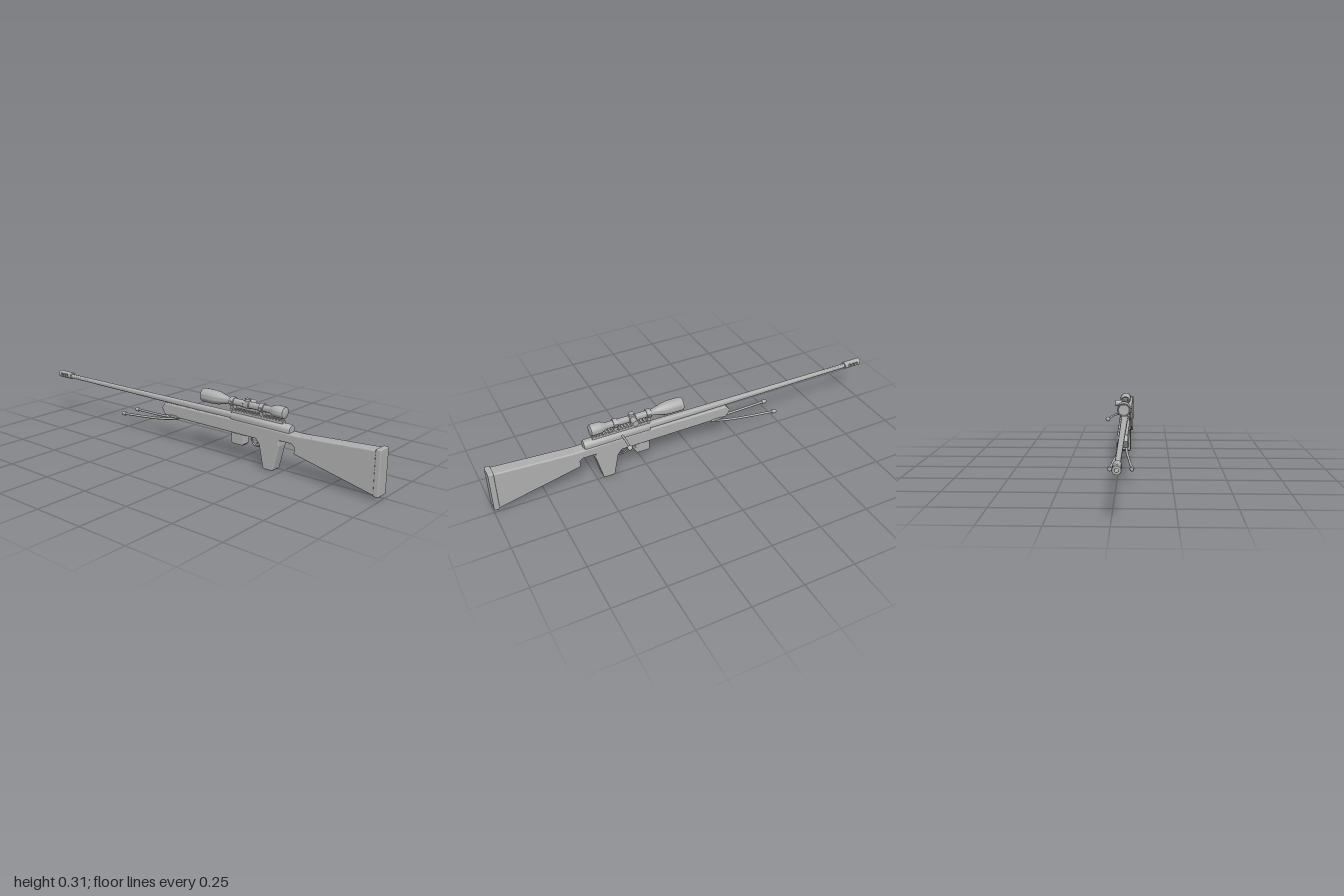
import * as THREE from 'three';
import { toCreasedNormals } from 'three/addons/utils/BufferGeometryUtils.js';
import { RoundedBoxGeometry } from 'three/addons/geometries/RoundedBoxGeometry.js';

const CX = -0.023; // centre plane of the rifle

export function createModel() {
  const model = new THREE.Group();
  const rifle = new THREE.Group();
  rifle.name = 'rifle';
  rifle.position.x = CX;
  model.add(rifle);
  const grey = new THREE.MeshStandardMaterial({ color: 0xb0b0b0 });
  grey.name = 'plain grey';
  grey.side = THREE.DoubleSide;

  const add = (name, geo, x = 0, y = 0, z = 0) => {
    const mesh = new THREE.Mesh(geo, grey);
    mesh.name = name;
    mesh.position.set(x, y, z);
    rifle.add(mesh);
    return mesh;
  };
  // Side profile of [z, y] points, extruded across x
  const slab = (pts, half, bevel) => {
    const shape = new THREE.Shape(pts.map(([z, y]) => new THREE.Vector2(z, y)));
    const geo = new THREE.ExtrudeGeometry(shape, {
      depth: 2 * (half - bevel), bevelEnabled: true, bevelThickness: bevel,
      bevelSize: bevel, bevelOffset: -bevel, bevelSegments: 3,
    });
    geo.translate(0, 0, -(half - bevel));
    return geo.rotateY(-Math.PI / 2);
  };
  // Turned part along z from [radius, z] points in rising z
  const turned = (pts, seg = 24) => toCreasedNormals(
    new THREE.LatheGeometry(pts.map(([r, z]) => new THREE.Vector2(r, z)), seg).rotateX(Math.PI / 2), 0.6);
  const box = (w, h, d, r = 0.003) => new RoundedBoxGeometry(w, h, d, 2, r);

  // Stock: butt, wrist, grip and fore-end, narrowing toward the front
  const stock = slab([
    [0.98, 0.22], [0.6, 0.196], [0.2, 0.2], [-0.19, 0.196], [-0.212, 0.17], [-0.19, 0.136],
    [0.37, 0.134], [0.39, 0.11], [0.412, 0.006], [0.422, 0], [0.463, 0], [0.47, 0.006],
    [0.5, 0.125], [0.5, 0.152], [0.565, 0.152], [0.578, 0.14], [0.578, 0.108], [0.98, 0.02],
  ], 0.03, 0.007);
  const p = stock.attributes.position;
  for (let i = 0; i < p.count; i++) p.setX(i, p.getX(i) * (0.88 + 0.15 * p.getZ(i)));
  stock.computeVertexNormals();
  add('stock', stock);
  add('buttPad', box(0.068, 0.207, 0.026, 0.005), 0, 0.1215, 0.987);

  // Receiver and barrel
  add('receiver', turned([[0, 0.22], [0.024, 0.22], [0.026, 0.224], [0.026, 0.54], [0.022, 0.549], [0, 0.552]]), 0, 0.205);
  add('barrel', turned([[0.0115, -0.92], [0.013, -0.5], [0.017, 0.1], [0.018, 0.23]]), 0, 0.209);

  // Muzzle brake: discs with open side ports between solid top and bottom
  const brake = new THREE.Group();
  brake.name = 'muzzleBrake';
  brake.position.set(0, 0.211, 0);
  rifle.add(brake);
  const brakePart = (name, geo) => {
    const mesh = new THREE.Mesh(geo, grey);
    mesh.name = name;
    brake.add(mesh);
  };
  [[-1, -0.982], [-0.968, -0.962], [-0.948, -0.942], [-0.928, -0.905]].forEach(([a, b]) =>
    brakePart('brakeRing', turned([[0.008, a], [0.017, a], [0.018, a + 0.002], [0.018, b - 0.002], [0.017, b], [0.008, b], [0.008, a]])));
  for (const start of [Math.PI * 0.16, Math.PI * 1.16]) {
    const arc = new THREE.Shape();
    arc.absarc(0, 0, 0.0178, start, start + Math.PI * 0.68, false);
    arc.absarc(0, 0, 0.008, start + Math.PI * 0.68, start, true);
    const geo = new THREE.ExtrudeGeometry(arc, { depth: 0.085, bevelEnabled: false, curveSegments: 12 });
    brakePart('brakeShell', geo.translate(0, 0, -0.995));
  }

  // Toothed sight rail
  add('sightRail', box(0.024, 0.014, 0.29, 0.002), 0, 0.232, 0.36);
  for (let i = 0; i < 18; i++)
    add('railTooth', new THREE.BoxGeometry(0.029, 0.008, 0.009), 0, 0.242, 0.224 + i * 0.016);

  // Telescopic sight
  const SY = 0.277;
  add('scopeBody', turned([
    [0, 0.052], [0.026, 0.05], [0.028, 0.045], [0.032, 0.045], [0.033, 0.05], [0.033, 0.115],
    [0.03, 0.14], [0.021, 0.175], [0.016, 0.195], [0.016, 0.43], [0.02, 0.442], [0.027, 0.458],
    [0.028, 0.47], [0.028, 0.505], [0.026, 0.51], [0.02, 0.513], [0, 0.516],
  ], 32), 0, SY);
  for (const z of [0.22, 0.388]) {
    add('scopeRing', turned([[0.014, -0.011], [0.021, -0.011], [0.022, -0.009], [0.022, 0.009], [0.021, 0.011], [0.014, 0.011]]), 0, SY, z);
    add('ringFoot', box(0.026, 0.026, 0.02, 0.002), 0, 0.252, z);
    for (const s of [-1, 1]) add('ringClamp', box(0.006, 0.01, 0.018, 0.002), s * 0.022, SY, z);
  }
  add('turretCollar', turned([[0.015, -0.018], [0.019, -0.014], [0.019, 0.014], [0.015, 0.018]]), 0, SY, 0.303);
  add('topTurret', new THREE.CylinderGeometry(0.013, 0.013, 0.026, 20), 0, 0.292, 0.303);
  add('sideTurret', new THREE.CylinderGeometry(0.015, 0.015, 0.036, 20).rotateZ(Math.PI / 2), 0.032, SY, 0.303);

  // Bolt handle with ball knob
  const boltPath = new THREE.CatmullRomCurve3([[0.015, 0.211], [0.045, 0.209], [0.066, 0.2], [0.088, 0.186]]
    .map(([x, y], i) => new THREE.Vector3(x, y, 0.365 - i * 0.003)));
  add('boltHandle', new THREE.TubeGeometry(boltPath, 16, 0.005, 10));
  add('boltKnob', new THREE.SphereGeometry(0.012, 18, 12), 0.091, 0.184, 0.356);

  // Magazine, trigger and guard
  add('magazine', slab([[0.3, 0.145], [0.225, 0.145], [0.225, 0.088], [0.232, 0.08], [0.29, 0.08], [0.3, 0.09]], 0.02, 0.004));
  const guardPath = new THREE.CatmullRomCurve3([[0.395, 0.1], [0.37, 0.091], [0.345, 0.093], [0.334, 0.106], [0.328, 0.138]]
    .map(([z, y]) => new THREE.Vector3(0, y, z)));
  add('triggerGuard', new THREE.TubeGeometry(guardPath, 20, 0.004, 8));
  const triggerPath = new THREE.CatmullRomCurve3([[0.368, 0.14], [0.37, 0.12], [0.36, 0.102]]
    .map(([z, y]) => new THREE.Vector3(0, y, z)));
  add('trigger', new THREE.TubeGeometry(triggerPath, 10, 0.003, 8));

  // Folded bipod
  add('bipodBracket', box(0.058, 0.014, 0.055, 0.004), 0, 0.138, -0.132);
  add('bipodHinge', box(0.03, 0.016, 0.03, 0.004), 0, 0.127, -0.135);
  for (const s of [-1, 1]) {
    const leg = new THREE.CatmullRomCurve3([[0.016, 0.126, -0.13], [0.022, 0.113, -0.2], [0.033, 0.104, -0.3], [0.048, 0.096, -0.45]]
      .map(([x, y, z]) => new THREE.Vector3(s * x, y, z)));
    add('bipodLeg', new THREE.TubeGeometry(leg, 24, 0.006, 10));
    add('bipodFoot', turned([[0, -0.012], [0.008, -0.012], [0.01, -0.009], [0.01, 0.009], [0.008, 0.012], [0, 0.012]], 16), s * 0.048, 0.096, -0.453);
  }
  return model;
}
